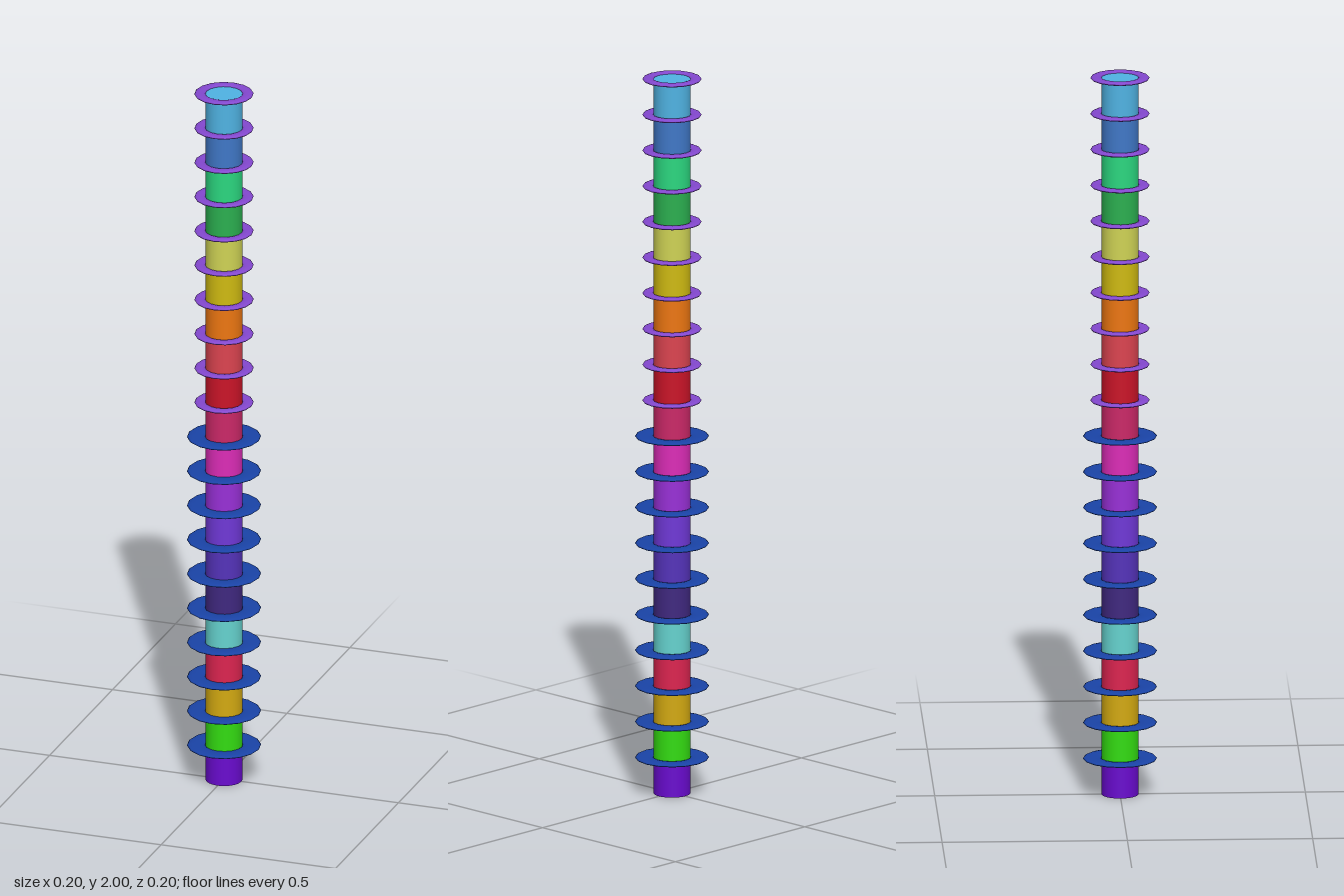
import * as THREE from 'three';

// Segment colours from the bottom up
const COLORS = [
  0x6a0bd0, 0x33dd11, 0xd4aa11, 0xdd2450, 0x66d4d0,
  0x402880, 0x5533bb, 0x7038d8, 0x9930d8, 0xdd2cb8,
  0xcc2868, 0xcc1428, 0xdd4450, 0xee7711, 0xd0bb11,
  0xd0d455, 0x2bb050, 0x2bd880, 0x4078c8, 0x50b4e4,
];
const STEP = 0.09975; // segment height
const RADIUS = 0.05; // pole radius
const HALF_RING = 0.005; // half the ring thickness

// Flattened torus that hugs the pole and reaches out to the given radius
function ringGeometry(outer) {
  const tube = (outer - RADIUS) / 2;
  const geometry = new THREE.TorusGeometry(RADIUS + tube, tube, 12, 16);
  geometry.rotateX(Math.PI / 2);
  geometry.scale(1, HALF_RING / tube, 1);
  return geometry;
}

export function createModel() {
  const model = new THREE.Group();
  model.name = 'ringedPole';

  const segmentGeometry = new THREE.CylinderGeometry(RADIUS, RADIUS, STEP, 32);
  const wideRing = ringGeometry(0.1);
  const narrowRing = ringGeometry(0.08);
  const blue = new THREE.MeshStandardMaterial({ color: 0x1a44a8 });
  const purple = new THREE.MeshStandardMaterial({ color: 0x8448d0 });

  COLORS.forEach((color, i) => {
    // Coloured pole segment
    const segment = new THREE.Mesh(segmentGeometry, new THREE.MeshStandardMaterial({ color }));
    segment.name = `segment${i + 1}`;
    segment.position.y = (i + 0.5) * STEP;

    // Ring at its top: wide on the lower half, narrow on the upper half
    const lower = i < 10;
    const ring = new THREE.Mesh(lower ? wideRing : narrowRing, lower ? blue : purple);
    ring.name = `${lower ? 'wide' : 'narrow'}Ring${i + 1}`;
    ring.position.y = (i + 1) * STEP;

    model.add(segment, ring);
  });

  return model;
}
